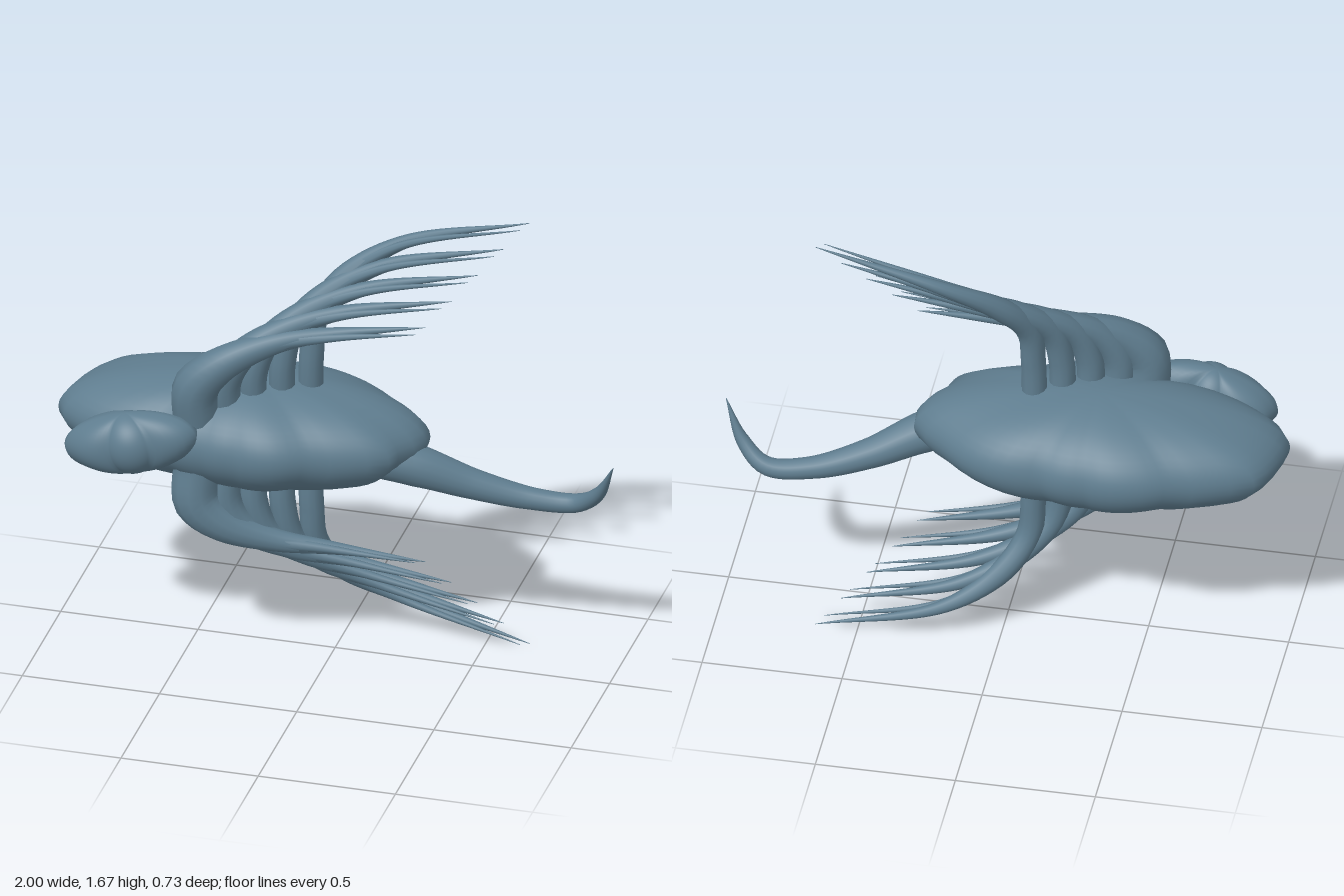
import * as THREE from 'three';
import { mergeVertices } from 'three/addons/utils/BufferGeometryUtils.js';

const slate = new THREE.MeshStandardMaterial({ color: 0x5f7d8f });
slate.name = 'slateBlue';

const MID_Y = 0.845;
const { lerp } = THREE.MathUtils;

// Rounded blob: a sphere with a vertical pole whose plan follows an [x, z] outline
function blob(outline, cx, cz, halfHeight) {
  const polar = outline
    .map(([x, z]) => [Math.atan2(z - cz, x - cx), Math.hypot(x - cx, z - cz)])
    .sort((a, b) => a[0] - b[0]);
  const first = polar[0], last = polar[polar.length - 1];
  polar.unshift([last[0] - Math.PI * 2, last[1]]);
  polar.push([first[0] + Math.PI * 2, first[1]]);
  const radiusAt = (a) => {
    let i = 1;
    while (i < polar.length - 1 && polar[i][0] < a) i++;
    const [a0, r0] = polar[i - 1], [a1, r1] = polar[i];
    return lerp(r0, r1, (a - a0) / (a1 - a0));
  };
  let geo = new THREE.SphereGeometry(1, 64, 28);
  geo.deleteAttribute('uv');
  geo.deleteAttribute('normal');
  geo = mergeVertices(geo, 1e-4);
  const p = geo.attributes.position;
  for (let i = 0; i < p.count; i++) {
    const r = radiusAt(Math.atan2(p.getZ(i), p.getX(i)));
    p.setXYZ(i, cx + p.getX(i) * r, p.getY(i) * halfHeight, cz + p.getZ(i) * r);
  }
  geo.computeVertexNormals();
  return geo;
}

// Tube along a smooth path, with one radius for each path point
function taperedTube(points, radii, rings = 36, sides = 12) {
  const curve = new THREE.CatmullRomCurve3(points.map((q) => new THREE.Vector3(...q)));
  const geo = new THREE.TubeGeometry(curve, rings, 1, sides);
  const p = geo.attributes.position;
  const v = new THREE.Vector3();
  for (let i = 0; i <= rings; i++) {
    const c = curve.getPointAt(i / rings);
    const s = curve.getUtoTmapping(i / rings) * (radii.length - 1);
    const k = Math.min(Math.floor(s), radii.length - 2);
    const r = lerp(radii[k], radii[k + 1], s - k);
    for (let j = 0; j <= sides; j++) {
      const n = i * (sides + 1) + j;
      v.fromBufferAttribute(p, n).sub(c).multiplyScalar(r).add(c);
      p.setXYZ(n, v.x, v.y, v.z);
    }
  }
  return geo;
}

function addMesh(parent, name, geo) {
  const mesh = new THREE.Mesh(geo, slate);
  mesh.name = name;
  parent.add(mesh);
  return mesh;
}

// Leading and trailing feather paths; the others lie between them
const LEADING = [[-0.46, 0.94, 0.16], [-0.455, 1.07, 0.175], [-0.37, 1.16, 0.155],
  [-0.2, 1.235, 0.09], [0, 1.27, 0.03], [0.32, 1.31, -0.03]];
const TRAILING = [[-0.1, 0.94, -0.04], [-0.095, 1.15, -0.035], [-0.08, 1.3, -0.05],
  [0.01, 1.43, -0.12], [0.2, 1.55, -0.195], [0.65, 1.68, -0.21]];

function makeWing(name, flip) {
  const wing = new THREE.Group();
  wing.name = name;
  const place = ([x, y, z]) => [x, flip ? 2 * MID_Y - y : y, z];
  for (let i = 0; i < 5; i++) {
    const t = i / 4;
    const path = LEADING.map((a, k) => a.map((c, d) => lerp(c, TRAILING[k][d], t)));
    const root = [0.085, 0.06, 0.05, 0.047, 0.045][i];
    const radii = [root, root, lerp(root, 0.045, 0.5), 0.042, 0.024, 0.001];
    addMesh(wing, 'feather', taperedTube(path.map(place), radii));
    // Slim vane beside each feather
    const vane = path.slice(2).map(([x, y, z], k) =>
      [x - 0.008 * k, y - 0.004 * k, z + 0.013 * k]);
    addMesh(wing, 'featherVane', taperedTube(vane.map(place), [0.03, 0.03, 0.016, 0.001], 24, 8));
  }
  return wing;
}

export function createModel() {
  const model = new THREE.Group();
  model.name = 'wingedCreature';

  // Body
  const body = addMesh(model, 'body', blob([
    [-1, 0.06], [-0.985, -0.06], [-0.93, -0.2], [-0.8, -0.255], [-0.64, -0.295],
    [-0.51, -0.35], [-0.33, -0.35], [-0.16, -0.325], [0, -0.32], [0.13, -0.26],
    [0.2, -0.2], [0.32, -0.1], [0.325, 0.01], [0.26, 0.06], [0.24, 0.14],
    [0.12, 0.195], [-0.03, 0.23], [-0.15, 0.29], [-0.3, 0.285], [-0.42, 0.27],
    [-0.6, 0.22], [-0.87, 0.16],
  ], -0.33, -0.03, 0.205));
  body.position.y = MID_Y;

  // Head, tilted and set against the front of the body
  const head = addMesh(model, 'head', blob([
    [-0.25, 0.01], [-0.21, -0.07], [-0.05, -0.085], [0.07, -0.06], [0.22, -0.04],
    [0.25, -0.02], [0.21, 0.04], [0.09, 0.07], [-0.06, 0.085], [-0.21, 0.045],
  ], 0, 0, 0.115));
  head.position.set(-0.67, 0.865, 0.262);
  head.rotation.z = 0.22;

  // Tail, curling up at the tip
  addMesh(model, 'tail', taperedTube(
    [[0.17, 0.8, 0.02], [0.3, 0.765, -0.015], [0.48, 0.69, -0.075], [0.68, 0.635, -0.125],
      [0.84, 0.632, -0.14], [0.93, 0.7, -0.1], [1, 0.84, -0.05]],
    [0.075, 0.075, 0.055, 0.04, 0.034, 0.025, 0.001], 48, 16));

  model.add(makeWing('upperWing', false), makeWing('lowerWing', true));
  return model;
}
